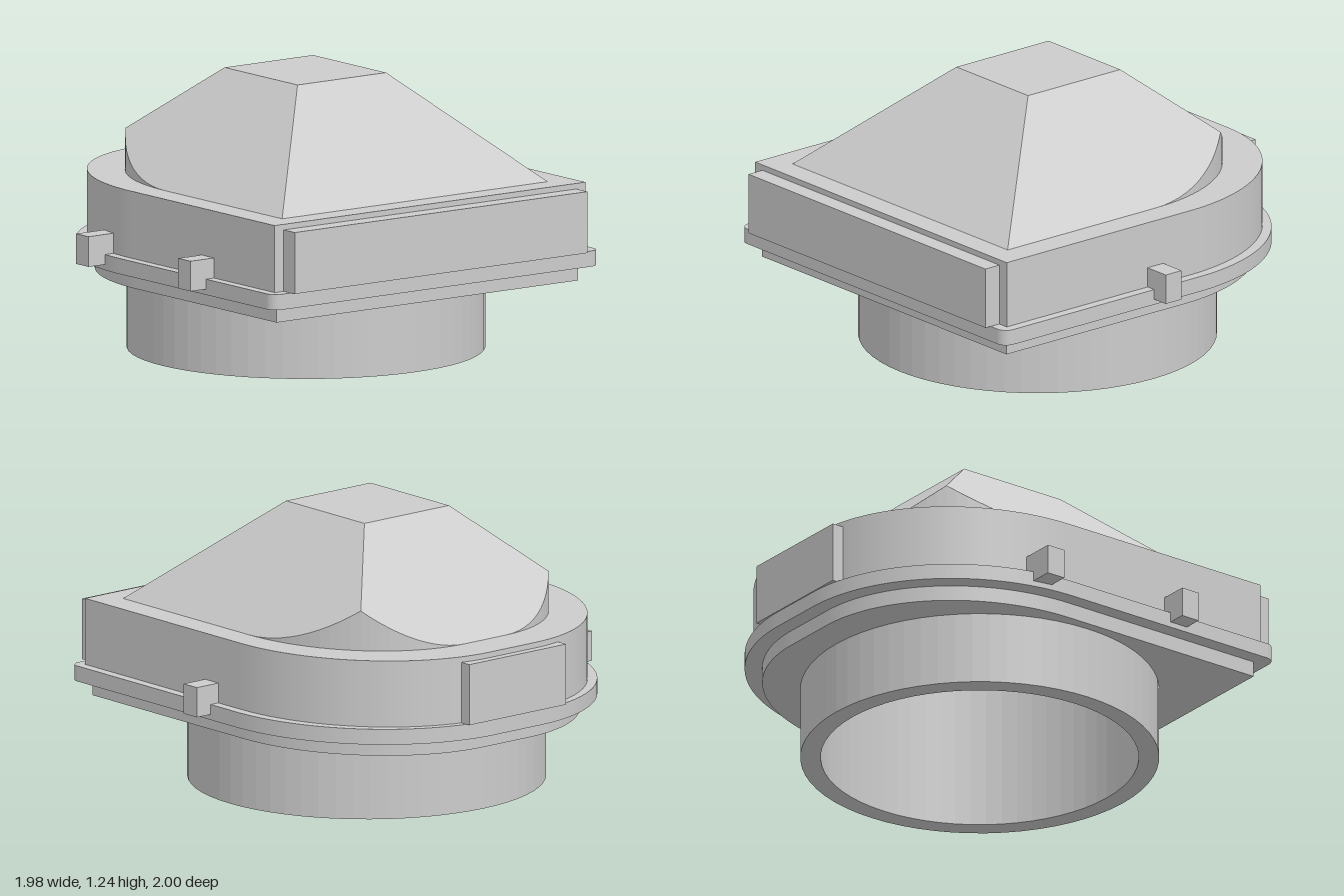
import * as THREE from 'three';

const mat = new THREE.MeshStandardMaterial({ color: 0xcccccc, flatShading: true });
const CZ = 0.02, BORE = 0.7;

function add(group, name, geometry) {
  const mesh = new THREE.Mesh(geometry, mat);
  mesh.name = name;
  group.add(mesh);
  return mesh;
}

// Box given by its limits
function block(group, name, [x0, x1], [y0, y1], [z0, z1]) {
  const mesh = add(group, name, new THREE.BoxGeometry(x1 - x0, y1 - y0, z1 - z0));
  mesh.position.set((x0 + x1) / 2, (y0 + y1) / 2, (z0 + z1) / 2);
}

// Plan outline: square front, elliptical back corners; shape y is -z
function outline({ w, front, back, flat, zc, corner = 0 }) {
  const s = new THREE.Shape();
  s.moveTo(-w + corner, -front);
  s.lineTo(w - corner, -front);
  if (corner) s.absarc(w - corner, -front + corner, corner, -Math.PI / 2, 0);
  s.absellipse(flat, -zc, w - flat, zc - back, 0, Math.PI / 2);
  s.absellipse(-flat, -zc, w - flat, zc - back, Math.PI / 2, Math.PI);
  if (corner) s.absarc(-w + corner, -front + corner, corner, Math.PI, Math.PI * 1.5);
  s.closePath();
  return s;
}

// Upright slab with the round bore cut through it
function slab(group, name, shape, y0, y1, segments) {
  shape.holes.push(new THREE.Path().absarc(0, -CZ, BORE, 0, Math.PI * 2, true));
  const geo = new THREE.ExtrudeGeometry(shape, { depth: y1 - y0, bevelEnabled: false, curveSegments: segments });
  geo.rotateX(-Math.PI / 2).translate(0, y0, 0);
  add(group, name, geo);
}

// Truncated pyramid trimmed by a rounded upright wall at the back
function hoodGeometry() {
  const base = 0.77, top = 1.235, hx = 0.735, cx = 0.245, cf = 0.28, cb = -0.25, front = 0.81;
  const sideY = x => top - (top - base) * (Math.abs(x) - cx) / (hx - cx);
  const backY = z => top - (top - base) * (cb - z) / (cb + 0.78);
  const arc = (a, b, n, height) => Array.from({ length: n + 1 }, (_, i) => {
    const t = a + (b - a) * i / n;
    const x = 0.12 + 0.615 * Math.cos(t), z = -0.04 - 0.74 * Math.sin(t);
    return [x, height(x, z), z];
  });
  const split = 0.808;
  const sideArc = arc(0, split, 12, x => sideY(x));
  const backArc = arc(split, Math.PI / 2, 12, (x, z) => backY(z));
  const flip = pts => pts.map(([x, y, z]) => [-x, y, z]).reverse();

  const pos = [];
  const fan = pts => {
    for (let i = 1; i < pts.length - 1; i++) pos.push(...pts[0], ...pts[i], ...pts[i + 1]);
  };
  const side = [[cx, top, cb], [cx, top, cf], [hx, base, front], ...sideArc];
  fan(side);
  fan(flip(side));
  fan([[cx, top, cb], ...backArc, ...flip(backArc), [-cx, top, cb]]);
  fan([[-cx, top, cf], [-hx, base, front], [hx, base, front], [cx, top, cf]]);
  fan([[-cx, top, cb], [-cx, top, cf], [cx, top, cf], [cx, top, cb]]);

  // Upright walls under the trimmed edge
  const edge = [...sideArc, ...backArc.slice(1)];
  for (let i = 0; i < edge.length - 1; i++) {
    const a = edge[i], b = edge[i + 1];
    const wall = [[a[0], base, a[2]], [b[0], base, b[2]], b, a];
    fan(wall);
    fan(flip(wall));
  }
  const geo = new THREE.BufferGeometry();
  geo.setAttribute('position', new THREE.Float32BufferAttribute(pos, 3));
  geo.computeVertexNormals();
  return geo;
}

export function createModel() {
  const g = new THREE.Group();
  g.name = 'housing';

  // Round spigot and stacked plates
  slab(g, 'collar', new THREE.Shape().absarc(0, -CZ, 0.79, 0, Math.PI * 2), 0, 0.33, 32);
  slab(g, 'lowerPlate', outline({ w: 0.835, front: 0.9, back: -0.92, flat: 0.13, zc: -0.12 }), 0.33, 0.4, 32);
  slab(g, 'flange', outline({ w: 0.905, front: 0.97, back: -0.995, flat: 0.13, zc: -0.15, corner: 0.05 }), 0.4, 0.47, 32);
  slab(g, 'body', outline({ w: 0.86, front: 0.92, back: -0.963, flat: 0.13, zc: -0.13 }), 0.47, 0.77, 32);

  // Ceiling of the bore
  const ceiling = add(g, 'boreCeiling', new THREE.CylinderGeometry(BORE, BORE, 0.04, 64));
  ceiling.position.set(0, 0.68, CZ);

  add(g, 'hood', hoodGeometry());

  // Front panel, back tab and side lugs
  block(g, 'frontPanel', [-0.81, 0.81], [0.47, 0.745], [0.91, 1]);
  block(g, 'backTab', [-0.28, 0.28], [0.47, 0.745], [-1, -0.9]);
  block(g, 'leftLug', [0.85, 0.985], [0.425, 0.56], [0.02, 0.11]);
  for (const z of [-0.35, 0.39]) block(g, 'rightLug', [-0.99, -0.82], [0.425, 0.56], [z, z + 0.09]);

  return g;
}
